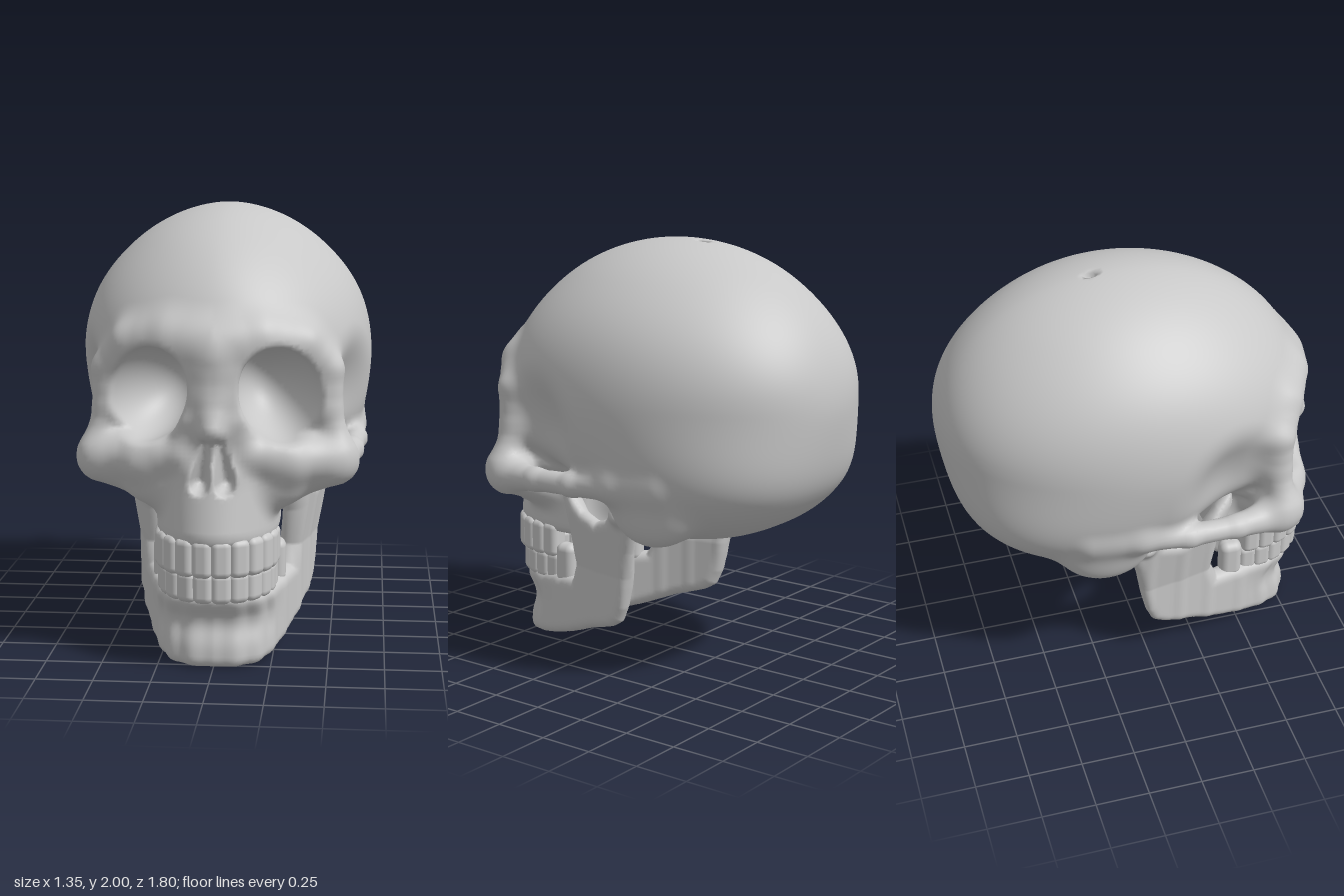
import * as THREE from 'three';
import { RoundedBoxGeometry } from 'three/addons/geometries/RoundedBoxGeometry.js';

const { abs, min, max, sqrt, pow, exp } = Math;
const clamp = (v, a, b) => min(max(v, a), b);
const mix = (a, b, t) => a + (b - a) * t;
const smooth = (a, b, v) => { const t = clamp((v - a) / (b - a), 0, 1); return t * t * (3 - 2 * t); };

// Soft joining and soft carving of distance fields
const join = (a, b, k) => { const h = max(k - abs(a - b), 0) / k; return min(a, b) - h * h * k * 0.25; };
const meet = (a, b, k) => -join(-a, -b, k);
const carve = (a, b, k) => meet(a, -b, k);

// Distance to an ellipsoid
function ellipsoid(x, y, z, cx, cy, cz, rx, ry, rz) {
  const a = (x - cx) / rx, b = (y - cy) / ry, c = (z - cz) / rz;
  const k0 = sqrt(a * a + b * b + c * c);
  const k1 = sqrt((a / rx) ** 2 + (b / ry) ** 2 + (c / rz) ** 2);
  return k1 < 1e-6 ? -min(rx, ry, rz) : k0 * (k0 - 1) / k1;
}

// Distance to a chain of rounded links; each point is [x, y, z, radius]
function chain(x, y, z, pts, k = 0.03) {
  let d = 9;
  for (let i = 0; i + 1 < pts.length; i++) {
    const p = pts[i], q = pts[i + 1];
    const ux = q[0] - p[0], uy = q[1] - p[1], uz = q[2] - p[2];
    const vx = x - p[0], vy = y - p[1], vz = z - p[2];
    const t = clamp((ux * vx + uy * vy + uz * vz) / (ux * ux + uy * uy + uz * uz), 0, 1);
    const s = sqrt((vx - ux * t) ** 2 + (vy - uy * t) ** 2 + (vz - uz * t) ** 2) - mix(p[3], q[3], t);
    d = i ? join(d, s, k) : s;
  }
  return d;
}

// Signed distance to a flat polygon
function polygon(u, v, pts) {
  let d = 99, s = 1;
  for (let i = 0, j = pts.length - 1; i < pts.length; j = i++) {
    const [ax, ay] = pts[i], ex = pts[j][0] - ax, ey = pts[j][1] - ay, wx = u - ax, wy = v - ay;
    const t = clamp((wx * ex + wy * ey) / (ex * ex + ey * ey), 0, 1);
    d = min(d, (wx - ex * t) ** 2 + (wy - ey * t) ** 2);
    const a = v >= ay, b = v < pts[j][1], c = ex * wy > ey * wx;
    if ((a && b && c) || (!a && !b && !c)) s = -s;
  }
  return s * sqrt(d);
}

const BROW = [[0, 1.42, 0.765, 0.07], [0.2, 1.45, 0.72, 0.055], [0.39, 1.42, 0.64, 0.05],
  [0.5, 1.3, 0.585, 0.045], [0.5, 1.12, 0.585, 0.045], [0.53, 0.95, 0.59, 0.07]];
const LOWER_RIM = [[0.52, 0.91, 0.6, 0.09], [0.33, 0.91, 0.685, 0.085], [0.15, 0.96, 0.74, 0.06],
  [0.1, 1.1, 0.76, 0.055], [0.06, 1.3, 0.755, 0.05]];
const NOSE_BRIDGE = [[0, 1.35, 0.77, 0.065], [0, 1.2, 0.79, 0.055], [0, 1.07, 0.85, 0.045]];
const CHEEK_ROOT = [[0.51, 0.88, 0.6, 0.085], [0.25, 0.77, 0.56, 0.08]];
const CHEEK_ARCH = [[0.54, 0.89, 0.55, 0.08], [0.59, 0.905, 0.35, 0.052], [0.605, 0.915, 0.12, 0.052],
  [0.565, 0.945, -0.1, 0.085], [0.54, 0.95, -0.32, 0.08]];
const NOSTRIL = [[0.034, 1.0, 0.88, 0.022], [0.057, 0.83, 0.88, 0.044]];

// Rounded vault, fuller and squarer toward the lower back
function braincase(x, y, z) {
  const dy = y - 1.3, dz = z + 0.05;
  const X = x / 0.675;
  const Y = dy / (dy > 0 ? 0.7 : mix(0.68, 0.43, smooth(-0.25, 0.4, z)));
  const Z = dz / (dz > 0 ? 0.87 : 0.855);
  const t = 0.6 * smooth(0, 0.6, -Y);
  const g = sqrt(pow(X, 2.25 + 0.5 * t - 0.4 * smooth(0.1, 0.75, Y)) + pow(abs(Y), 2 + t) + pow(abs(Z), 2 + t));
  return sqrt(x * x + dy * dy + dz * dz) * (1 - 1 / max(g, 0.3));
}

// Upper jaw: a horseshoe block tapering upward
function upperJaw(x, y, z) {
  const k = 1 - 0.5 * clamp(y - 0.62, 0, 0.3);
  const g = sqrt((x / 0.275) ** 2 + (max(z - 0.5, 0) / (0.4 * k)) ** 2);
  const d = meet((g - 1) * 0.27, abs(y - 0.73) - 0.18, 0.05);
  return meet(d, 0.34 - z, 0.05);
}

function skullField(sx, y, z) {
  const x = abs(sx);
  let d = braincase(x, y, z);
  d = carve(d, ellipsoid(x, y, z, 0.73, 1.08, 0.38, 0.24, 0.3, 0.24), 0.14);   // temple hollow
  d = join(d, ellipsoid(x, y, z, 0, 0.85, 0.42, 0.22, 0.25, 0.2), 0.08);       // bone behind the palate
  d = join(d, ellipsoid(x, y, z, 0.24, 0.95, 0.56, 0.2, 0.12, 0.2), 0.06);     // eye socket floor
  d = join(d, ellipsoid(x, y, z, 0, 1.0, 0.7, 0.14, 0.28, 0.13), 0.06);        // core of the nose
  d = join(d, upperJaw(x, y, z), 0.08);
  d = join(d, ellipsoid(x, y, z, 0.27, 0.85, 0.65, 0.14, 0.15, 0.1), 0.08);    // cheek front
  d = join(d, chain(x, y, z, BROW), 0.12);
  d = join(d, chain(x, y, z, LOWER_RIM), 0.06);
  d = join(d, chain(x, y, z, NOSE_BRIDGE), 0.08);
  d = join(d, chain(x, y, z, CHEEK_ROOT), 0.06);
  d = join(d, chain(x, y, z, CHEEK_ARCH), 0.05);
  d = join(d, ellipsoid(x, y, z, 0.47, 0.785, -0.23, 0.1, 0.13, 0.19), 0.12);  // bump behind the ear
  const ox = 0.28 + 0.2 * (z - 0.7) - 0.14 * (y - 1.2);
  d = carve(d, ellipsoid(x, y, z, ox, 1.205, 0.71, 0.19, 0.21, 0.34), 0.03);   // eye socket
  d = carve(d, chain(x, y, 0.88 + (z - 0.88) * 0.3, NOSTRIL), 0.015);          // nose opening
  d = carve(d, ellipsoid(x, y, z, 0, 0.55, 0.56, 0.17, 0.1, 0.24), 0.03);      // palate
  return carve(d, ellipsoid(x, y, z, 0, 2, -0.17, 0.02, 0.05, 0.034), 0.01);   // small hole on top
}

// Side outline (z, y) of the lower jaw and its plan path
const JAW_SIDE = [[0.9, -0.005], [0.7, 0.01], [0.55, 0.04], [0.4, 0.085], [0.22, 0.155], [0.08, 0.195], [0.02, 0.23],
  [-0.01, 0.3], [-0.035, 0.4], [-0.07, 0.58], [-0.105, 0.7], [-0.095, 0.78], [-0.04, 0.81], [0.02, 0.78], [0.06, 0.72],
  [0.14, 0.69], [0.24, 0.72], [0.34, 0.82], [0.42, 0.88], [0.43, 0.81], [0.35, 0.62], [0.32, 0.45],
  [0.36, 0.355], [0.6, 0.33], [0.9, 0.33]];
const JAW_PATH = [[0, 0, 0.735, 0.068], [0.08, 0, 0.728, 0.068], [0.15, 0, 0.69, 0.066], [0.2, 0, 0.61, 0.062],
  [0.25, 0, 0.48, 0.056], [0.315, 0, 0.3, 0.048], [0.355, 0, 0.15, 0.043], [0.385, 0, -0.02, 0.042], [0.4, 0, -0.13, 0.042]];

function jawField(sx, y, z) {
  const flare = 0.17 * max(y - 0.45, 0) * (1 - smooth(0.25, 0.5, z));
  const x = abs(sx) - flare;
  const front = smooth(0.5, 0.7, z);
  const dent = front * (0.03 * exp(-(((y - 0.19) / 0.07) ** 2)) - 0.025 * smooth(0.22, 0.32, y));
  const d = meet(polygon(z, y, JAW_SIDE) - 0.008, chain(x, 0, z + dent, JAW_PATH, 0.02), 0.055);
  return join(d, ellipsoid(abs(sx), y, z, 0.455, 0.765, -0.045, 0.07, 0.045, 0.05), 0.04);
}

// Smooth skin over a distance field: one vertex per crossed cell, one quad per crossed edge
function skin(field, lo, hi, h) {
  const n = lo.map((v, a) => Math.round((hi[a] - v) / h) + 1);
  const step = [1, n[0], n[0] * n[1]];
  const val = new Float32Array(n[0] * n[1] * n[2]), ids = new Int32Array(val.length).fill(-1);
  const each = (m, fn) => {
    for (let k = 0; k < n[2] - m; k++) for (let j = 0; j < n[1] - m; j++) for (let i = 0; i < n[0] - m; i++)
      fn([i, j, k], i + j * step[1] + k * step[2]);
  };
  each(0, (c, o) => { val[o] = field(lo[0] + c[0] * h, lo[1] + c[1] * h, lo[2] + c[2] * h); });
  const pos = [], nor = [], idx = [];
  each(1, (c, o) => {
    const sum = [0, 0, 0];
    let count = 0;
    for (let a = 0; a < 3; a++) for (let e = 0; e < 4; e++) {
      const b = (a + 1) % 3, g = (a + 2) % 3, eb = e & 1, eg = e >> 1;
      const s = o + eb * step[b] + eg * step[g], v0 = val[s], v1 = val[s + step[a]];
      if ((v0 < 0) === (v1 < 0)) continue;
      sum[a] += v0 / (v0 - v1); sum[b] += eb; sum[g] += eg; count++;
    }
    if (!count) return;
    ids[o] = pos.length / 3;
    const [x, y, z] = sum.map((s, a) => lo[a] + (c[a] + s / count) * h), q = h * 0.4;
    const v = new THREE.Vector3(field(x + q, y, z) - field(x - q, y, z),
      field(x, y + q, z) - field(x, y - q, z), field(x, y, z + q) - field(x, y, z - q)).normalize();
    pos.push(x, y, z);
    nor.push(v.x, v.y, v.z);
  });
  each(1, (c, o) => {
    for (let a = 0; a < 3; a++) {
      const b = (a + 1) % 3, g = (a + 2) % 3, inside = val[o] < 0;
      if (!c[b] || !c[g] || inside === (val[o + step[a]] < 0)) continue;
      const q = [ids[o - step[b] - step[g]], ids[o - step[g]], ids[o], ids[o - step[b]]];
      if (!inside) q.reverse();
      idx.push(q[0], q[1], q[2], q[0], q[2], q[3]);
    }
  });
  const geo = new THREE.BufferGeometry();
  geo.setAttribute('position', new THREE.Float32BufferAttribute(pos, 3));
  geo.setAttribute('normal', new THREE.Float32BufferAttribute(nor, 3));
  geo.setIndex(idx);
  return geo;
}

export function createModel() {
  const bone = new THREE.MeshStandardMaterial({ color: 0xc8c8c8 });
  bone.name = 'bone';
  const model = new THREE.Group();
  model.name = 'skull';
  const add = (parent, name, geo) => {
    const m = new THREE.Mesh(geo, bone);
    m.name = name;
    parent.add(m);
    return m;
  };
  add(model, 'craniumAndFace', skin(skullField, [-0.74, 0.5, -0.96], [0.74, 2.06, 0.98], 0.02));
  add(model, 'lowerJaw', skin(jawField, [-0.585, -0.045, -0.18], [0.585, 0.93, 0.9], 0.015));

  // Tooth rows follow a horseshoe curve
  const arch = new THREE.CatmullRomCurve3([[-0.235, 0.52], [-0.215, 0.68], [-0.13, 0.81], [0, 0.852],
    [0.13, 0.81], [0.215, 0.68], [0.235, 0.52]].map(([x, z]) => new THREE.Vector3(x, 0, z)));
  const toothRow = (name, y, height, depth, scale) => {
    const row = new THREE.Group();
    row.name = name;
    model.add(row);
    const geo = new RoundedBoxGeometry(0.09, height, depth, 4, 0.03);
    for (let i = 0; i < 12; i++) {
      const t = (i + 0.5) / 12, p = arch.getPointAt(t), dir = arch.getTangentAt(t);
      const tooth = add(row, 'tooth', geo);
      tooth.position.set(p.x * scale, y, p.z * scale);
      tooth.rotation.y = Math.atan2(-dir.z, dir.x);
    }
  };
  toothRow('upperTeeth', 0.51, 0.17, 0.095, 1);
  toothRow('lowerTeeth', 0.375, 0.14, 0.085, 0.975);
  for (const s of [-1, 1]) {
    add(model, 'backMolar', new RoundedBoxGeometry(0.09, 0.2, 0.11, 4, 0.038)).position.set(s * 0.255, 0.41, 0.45);
  }
  return model;
}
